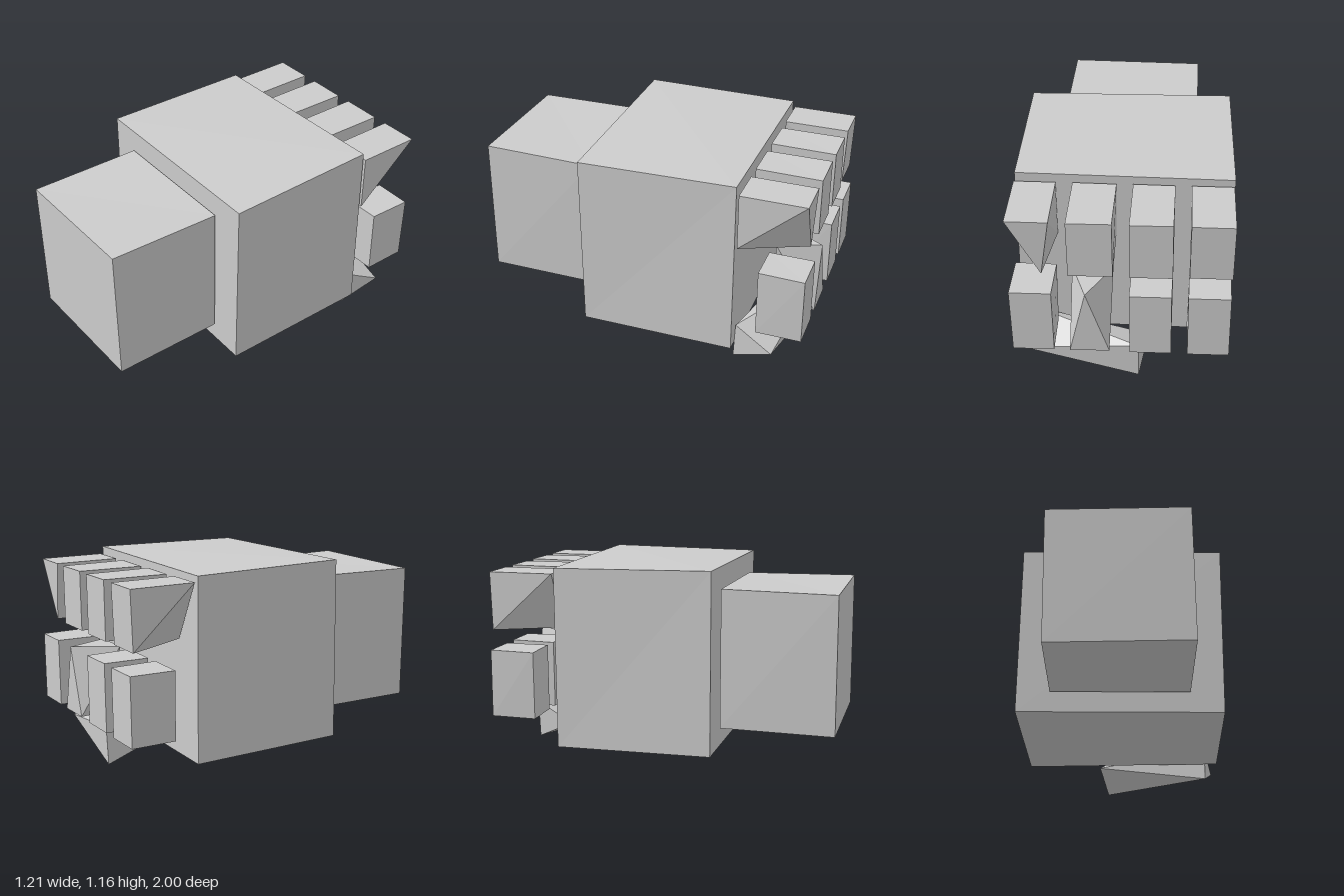
import * as THREE from 'three';
import { ConvexGeometry } from 'three/addons/geometries/ConvexGeometry.js';

export function createModel() {
  const model = new THREE.Group();
  const grey = new THREE.MeshStandardMaterial({ color: 0xcccccc });
  grey.name = 'lightGrey';

  const add = (name, geometry) => {
    const mesh = new THREE.Mesh(geometry, grey);
    mesh.name = name;
    model.add(mesh);
  };

  // Faceted solid around a few corners
  const facet = (name, corners) =>
    add(name, new ConvexGeometry(corners.map((c) => new THREE.Vector3(...c))));

  // Box given by its ranges, its two z ends turned slightly against each other
  const block = (name, [x0, x1], [y0, y1], [z0, z1], twist = 0) => {
    const g = new THREE.BoxGeometry(x1 - x0, y1 - y0, z1 - z0).toNonIndexed();
    const p = g.attributes.position;
    for (let i = 0; i < p.count; i++) {
      const a = twist * Math.sign(p.getZ(i));
      const x = p.getX(i), y = p.getY(i);
      p.setXY(i, x - y * a, y + x * a);
    }
    g.computeVertexNormals();
    g.translate((x0 + x1) / 2, (y0 + y1) / 2, (z0 + z1) / 2);
    add(name, g);
  };

  // Forearm and palm
  block('forearm', [-0.405, 0.405], [0.22, 1.032], [0.335, 1], 0.01);
  block('palm', [-0.6, 0.6], [0.1, 1.155], [-0.595, 0.323], -0.01);

  const columns = [[-0.6, -0.37], [-0.28, -0.05], [0.04, 0.28], [0.37, 0.6]];
  const upperY = [0.775, 1.115];
  const lowerY = [0.255, 0.652];

  // Upper finger segments: the middle two are plain blocks
  [1, 2].forEach((i) => block('upperFinger' + i, columns[i], upperY, [-0.99, -0.61], 0.01));

  // Outer upper segments, each with one lower corner pulled inward
  const [yb, yt] = upperY;
  const top = ([a, b]) => [[a, yt, -0.61], [b, yt, -0.61], [a, yt, -0.99], [b, yt, -0.99]];
  facet('upperFinger0', [...top(columns[0]),
    [-0.6, yb, -0.98], [-0.37, yb, -0.98], [-0.42, yb, -0.61]]);
  facet('upperFinger3', [...top(columns[3]),
    [0.37, yb, -0.61], [0.6, yb + 0.01, -0.61], [0.42, yb, -0.98]]);

  // Lower finger segments
  [0, 1, 3].forEach((i) => block('lowerFinger' + i, columns[i], lowerY, [-1, -0.735], 0.01));

  // Twisted lower segment
  facet('lowerFinger2', [
    [0.28, 0.652, -0.75], [0.05, 0.652, -0.75], [0.19, 0.652, -1],
    [0.28, 0.255, -1], [0.06, 0.26, -1], [0.15, 0.24, -0.735],
  ]);

  // Twisted thumb lying under the fingers
  facet('thumb', [
    [0.53, 0.005, -0.59], [0.53, 0.222, -0.6], [0.585, 0.11, -0.83],
    [-0.1, 0, -0.91], [-0.1, 0.228, -0.92], [-0.15, 0.11, -0.68],
  ]);

  return model;
}
